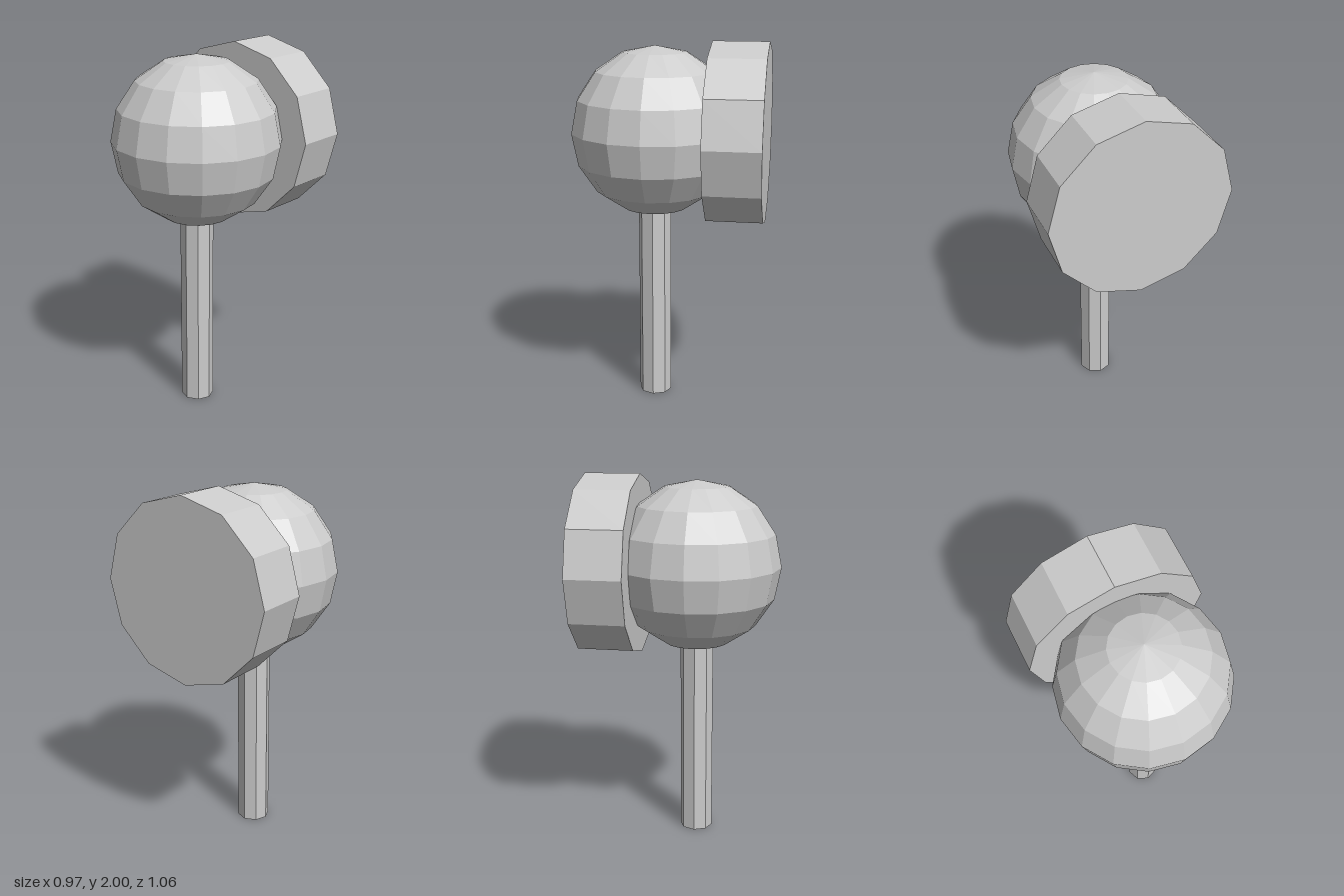
import * as THREE from 'three';

export function createModel() {
  const model = new THREE.Group();
  const grey = new THREE.MeshStandardMaterial({ color: 0xcccccc, flatShading: true });
  grey.name = 'grey';

  const add = (name, geometry, x, y, z) => {
    const mesh = new THREE.Mesh(geometry, grey);
    mesh.name = name;
    mesh.position.set(x, y, z);
    model.add(mesh);
  };

  // Eight-sided pole, running up into the ball
  add('pole', new THREE.CylinderGeometry(0.09, 0.09, 1.2, 8), 0, 0.6, 0.077);

  // Faceted ball
  add('ball', new THREE.SphereGeometry(0.455, 16, 8), 0, 1.518, 0.075);

  // Twelve-sided disc on the back, facing along z
  const disc = new THREE.CylinderGeometry(0.486, 0.486, 0.3, 12).rotateX(Math.PI / 2);
  add('backDisc', disc, 0, 1.514, -0.38);

  return model;
}
